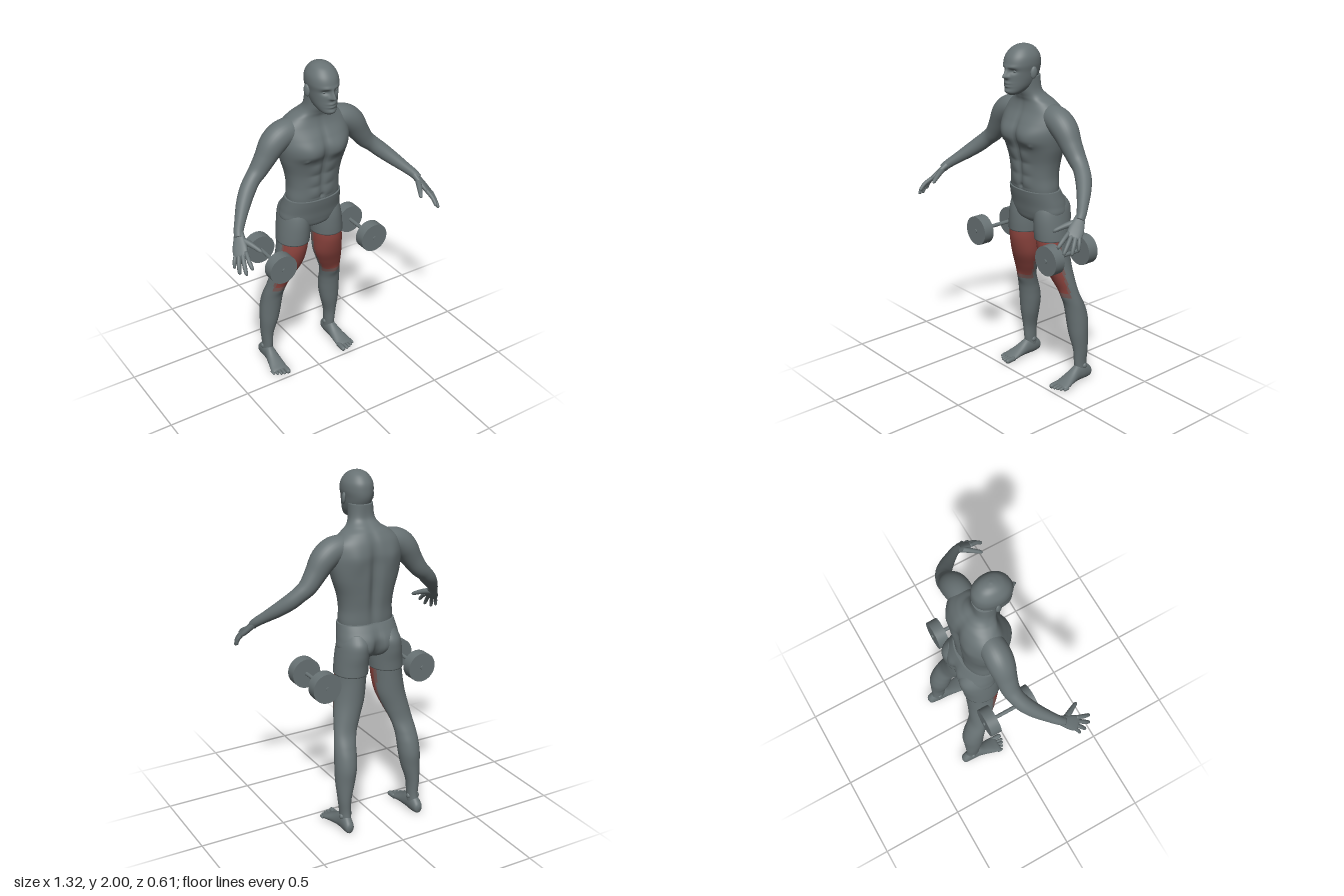
import * as THREE from 'three';

const grey = new THREE.MeshStandardMaterial({ color: 0x687274 });
const red = new THREE.MeshStandardMaterial({ color: 0x904640 });
const blend = new THREE.MeshStandardMaterial({ color: 0x7a5b58 });
grey.name = 'slate grey';
red.name = 'muscle red';
blend.name = 'muscle edge';

const V = (x, y, z) => new THREE.Vector3(x, y, z);
const bump = (d, w) => Math.exp(-(d * d) / (w * w));
const catmull = (a, b, c, d, t) =>
  0.5 * (2 * b + (c - a) * t + (2 * a - 5 * b + 4 * c - d) * t * t + (3 * b - a - 3 * c + d) * t * t * t);

// Smooth closed skin over cross-sections [x, y, z, halfWidth, upperDepth, lowerDepth].
// "axis" fixes the ring plane; otherwise rings follow the path. "pick" chooses a material per face.
function loft(name, rows, { up = V(0, 0, 1), axis = null, seg = 32, steps = 6, power = 2, sculpt = null, pick = null } = {}) {
  const rings = [];
  const n = rows.length;
  for (let i = 0; i < n - 1; i++)
    for (let k = 0; k < steps + (i === n - 2 ? 1 : 0); k++) {
      const [a, b, c, d] = [rows[Math.max(i - 1, 0)], rows[i], rows[i + 1], rows[Math.min(i + 2, n - 1)]];
      rings.push(b.map((_, m) => catmull(a[m], b[m], c[m], d[m], k / steps)));
    }
  const pos = [];
  const lists = [[], [], []];
  const last = rings.length - 1;
  rings.forEach((r, i) => {
    const p0 = rings[Math.max(i - 1, 0)], p1 = rings[Math.min(i + 1, last)];
    const T = axis || V(p1[0] - p0[0], p1[1] - p0[1], p1[2] - p0[2]).normalize();
    const S = up.clone().cross(T).normalize();
    const N = T.clone().cross(S);
    for (let j = 0; j < seg; j++) {
      const th = (j / seg) * Math.PI * 2, c = Math.cos(th), s = Math.sin(th);
      const e = 2 / power;
      const p = V(r[0], r[1], r[2])
        .addScaledVector(S, Math.sign(c) * Math.abs(c) ** e * r[3])
        .addScaledVector(N, Math.sign(s) * Math.abs(s) ** e * (s > 0 ? r[4] : r[5]));
      if (sculpt) sculpt(p, s);
      pos.push(p.x, p.y, p.z);
      if (i === last) continue;
      const q = i * seg + j, q1 = i * seg + ((j + 1) % seg);
      lists[pick ? pick(r[1], th) : 0].push(q, q1, q1 + seg, q, q1 + seg, q + seg);
    }
  });
  // End caps
  const base = last * seg, mid = pos.length / 3;
  pos.push(...rings[0].slice(0, 3), ...rings[last].slice(0, 3));
  for (let j = 0; j < seg; j++) {
    const k = (j + 1) % seg;
    lists[0].push(mid, k, j, mid + 1, base + j, base + k);
  }
  const geo = new THREE.BufferGeometry();
  geo.setAttribute('position', new THREE.Float32BufferAttribute(pos, 3));
  geo.setIndex(lists.flat());
  let start = 0;
  if (pick) lists.forEach((l, m) => { geo.addGroup(start, l.length, m); start += l.length; });
  geo.computeVertexNormals();
  const mesh = new THREE.Mesh(geo, pick ? [grey, red, blend] : grey);
  mesh.name = name;
  return mesh;
}

const Y = V(0, 1, 0);
const mirror = (rows, s) => rows.map(([x, ...rest]) => [x * s, ...rest]);

function ball(name, p, scale) {
  const m = new THREE.Mesh(new THREE.SphereGeometry(1, 24, 16), grey);
  m.name = name;
  m.position.set(...p);
  m.scale.set(...scale);
  return m;
}

// Chest, abdominal and back muscles
function sculptTorso(p, s) {
  const x = Math.abs(p.x), y = p.y;
  if (s > 0) {
    const pec = bump(x - 0.095, 0.08) * bump(y - 1.49, y < 1.49 ? 0.04 : 0.085);
    const abs = bump(x - 0.045, 0.035) * Math.abs(Math.sin((y - 1.2) * Math.PI / 0.075));
    const belly = y > 1.19 && y < 1.43 ? 1 : 0;
    p.z += s * (0.026 * pec + 0.006 * abs * belly);
    p.z -= s * 0.012 * bump(x, 0.016) * bump(y - 1.42, 0.2);
    p.z += 0.008 * bump(x - 0.112, 0.009) * bump(y - 1.46, 0.009);
    p.z -= 0.01 * bump(x, 0.01) * bump(y - 1.21, 0.012);
  } else {
    p.z -= s * 0.026 * bump(x, 0.028) * bump(y - 1.42, 0.22);
    p.z += s * 0.012 * bump(x - 0.11, 0.05) * bump(y - 1.55, 0.07);
  }
}

// Brow, eye sockets, nose, lips and chin
function sculptHead(p, s) {
  if (s <= 0) return;
  const x = Math.abs(p.x), y = p.y;
  const nose = bump(x, 0.009 + 0.006 * bump(y - 1.832, 0.014)) * (y > 1.836 ? bump(y - 1.836, 0.032) : bump(y - 1.836, 0.011));
  p.z += 0.03 * nose;
  p.z -= 0.013 * bump(x - 0.034, 0.02) * bump(y - 1.866, 0.014);
  p.z += 0.005 * bump(x - 0.03, 0.03) * bump(y - 1.888, 0.01);
  p.z += 0.007 * bump(x, 0.025) * (bump(y - 1.801, 0.007) + bump(y - 1.784, 0.007));
  p.z += 0.006 * bump(x, 0.025) * bump(y - 1.757, 0.012);
}

function arm(s) {
  const g = new THREE.Group();
  g.name = s > 0 ? 'leftArm' : 'rightArm';
  const path = [
    [0.10, 1.615, -0.07, 0.066], [0.19, 1.603, -0.065, 0.074], [0.25, 1.56, -0.065, 0.073], [0.30, 1.487, -0.065, 0.06],
    [0.345, 1.425, -0.065, 0.051], [0.388, 1.386, -0.055, 0.045], [0.434, 1.343, -0.03, 0.044], [0.483, 1.297, 0.012, 0.039],
    [0.532, 1.25, 0.065, 0.031], [0.568, 1.214, 0.108, 0.026], [0.582, 1.19, 0.135, 0.024]];
  g.add(loft('armLimb', mirror(path.map(([x, y, z, r]) => [x, y, z, r, r, r]), s), { up: V(0.59 * s, 0.68, 0.35) }));
  const up = V(0.594 * s, 0.682, 0.352);
  g.add(loft('palm', mirror([
    [0.566, 1.217, 0.106, 0.022, 0.02, 0.02], [0.583, 1.185, 0.14, 0.032, 0.017, 0.018],
    [0.6, 1.152, 0.175, 0.041, 0.015, 0.017], [0.612, 1.127, 0.202, 0.039, 0.012, 0.012],
    [0.616, 1.12, 0.21, 0.026, 0.005, 0.005]], s), { up, power: 2.4 }));
  // Index to little finger
  const tips = [[0.595, 1.082, 0.297], [0.625, 1.052, 0.283], [0.645, 1.045, 0.245], [0.653, 1.062, 0.205]];
  tips.forEach((tip, i) => {
    const k = -0.03 + i * 0.02;
    const a = V(0.607 + 0.7 * k, 1.136 - 0.3 * k, 0.194 - 0.6 * k), b = V(...tip);
    const r = i === 3 ? 0.0095 : 0.0115;
    const row = (t, f, lift) => {
      const p = a.clone().lerp(b, t).add(V(0.594, 0.682, 0.352).multiplyScalar(lift));
      return [p.x, p.y, p.z, r * f, r * f, r * f];
    };
    g.add(loft('finger', mirror([row(0, 1, 0), row(0.45, 1.05, 0.007), row(0.75, 0.95, 0.005), row(0.94, 0.75, 0), row(1, 0.1, 0)], s),
      { up, seg: 14, steps: 4 }));
  });
  g.add(loft('thumb', mirror([
    [0.578, 1.185, 0.14, 0.018, 0.018, 0.018], [0.555, 1.174, 0.182, 0.016, 0.016, 0.016], [0.535, 1.16, 0.218, 0.013, 0.013, 0.013],
    [0.519, 1.146, 0.248, 0.01, 0.01, 0.01], [0.514, 1.141, 0.258, 0.001, 0.001, 0.001]], s), { up, seg: 14, steps: 4 }));
  return g;
}

function leg(s) {
  const g = new THREE.Group();
  g.name = s > 0 ? 'leftLeg' : 'rightLeg';
  // The front thigh is red, narrowing toward the knee
  const pick = (y, th) => {
    if (y < 0.55) return 0;
    const w = Math.sin(th) + 0.25 * s * Math.cos(th);
    const limit = 0.15 + 0.55 * Math.max(0, (0.85 - y) / 0.3) ** 1.5;
    if (w > limit && y > 0.575) return 1;
    return w > limit - 0.2 ? 2 : 0;
  };
  const knee = (p, sn) => { if (sn > 0) p.z += 0.008 * bump(p.x * s - 0.19, 0.03) * bump(p.y - 0.55, 0.035); };
  g.add(loft('legLimb', mirror([
    [0.224, 0.06, -0.24, 0.03, 0.04, 0.045], [0.224, 0.12, -0.235, 0.031, 0.042, 0.042], [0.225, 0.2, -0.233, 0.038, 0.047, 0.047],
    [0.215, 0.3, -0.22, 0.055, 0.053, 0.063], [0.208, 0.38, -0.215, 0.063, 0.058, 0.071], [0.203, 0.45, -0.205, 0.064, 0.057, 0.068],
    [0.197, 0.51, -0.19, 0.064, 0.053, 0.06], [0.182, 0.58, -0.17, 0.067, 0.055, 0.05], [0.158, 0.66, -0.142, 0.078, 0.062, 0.067],
    [0.132, 0.75, -0.118, 0.088, 0.078, 0.086], [0.118, 0.85, -0.105, 0.088, 0.094, 0.1], [0.112, 0.93, -0.105, 0.086, 0.1, 0.104]], s),
    { axis: Y, seg: 48, steps: 8, sculpt: knee, pick }));
  g.add(loft('foot', mirror([
    [0.228, 0.042, -0.312, 0.006, 0.008, 0.008], [0.228, 0.043, -0.3, 0.025, 0.03, 0.036], [0.226, 0.05, -0.255, 0.032, 0.06, 0.049],
    [0.226, 0.047, -0.205, 0.034, 0.058, 0.044], [0.23, 0.036, -0.15, 0.042, 0.036, 0.032], [0.235, 0.024, -0.1, 0.05, 0.022, 0.023],
    [0.237, 0.017, -0.068, 0.05, 0.014, 0.016], [0.237, 0.015, -0.06, 0.04, 0.006, 0.007]], s), { up: Y, axis: V(0, 0, 1) }));
  for (let i = 0; i < 5; i++) {
    const r = i ? 0.0105 - i * 0.0005 : 0.015, x = i ? 0.207 + i * 0.0195 : 0.2, tip = -0.019 - 0.002 * i * i;
    const row = (z, y, f) => [x, y, z, r * f, r * f, r * f];
    g.add(loft('toe', mirror([row(-0.085, 0.017, 1), row(tip - 0.02, 0.015, 1), row(tip - 0.005, 0.013, 0.8), row(tip, 0.012, 0.1)], s),
      { up: Y, seg: 14, steps: 4 }));
  }
  g.add(ball('innerAnkle', [0.197 * s, 0.1, -0.24], [0.012, 0.016, 0.016]), ball('outerAnkle', [0.252 * s, 0.095, -0.245], [0.012, 0.016, 0.016]));
  return g;
}

function dumbbell(s) {
  const g = new THREE.Group();
  g.name = s > 0 ? 'leftDumbbell' : 'rightDumbbell';
  const rod = (name, r, z0, z1) => {
    const m = new THREE.Mesh(new THREE.CylinderGeometry(r, r, z1 - z0, 48).rotateX(Math.PI / 2), grey);
    m.position.z = (z0 + z1) / 2;
    m.name = name;
    g.add(m);
  };
  rod('handle', 0.011, -0.202, 0.122);
  rod('frontWeight', 0.085, 0.052, 0.115);
  rod('backWeight', 0.085, -0.194, -0.13);
  g.position.set(0.303 * s, 0.872, 0);
  return g;
}

export function createModel() {
  const model = new THREE.Group();
  model.name = 'athlete';

  model.add(loft('torso', [
    [0, 1.15, -0.07, 0.155, 0.09, 0.1], [0, 1.2, -0.07, 0.159, 0.1, 0.103], [0, 1.27, -0.07, 0.156, 0.104, 0.105],
    [0, 1.35, -0.07, 0.168, 0.11, 0.113], [0, 1.44, -0.07, 0.195, 0.13, 0.12], [0, 1.52, -0.07, 0.21, 0.145, 0.12],
    [0, 1.58, -0.07, 0.208, 0.128, 0.12], [0, 1.64, -0.07, 0.19, 0.1, 0.107], [0, 1.685, -0.065, 0.14, 0.085, 0.088],
    [0, 1.715, -0.05, 0.094, 0.077, 0.075], [0, 1.755, -0.03, 0.072, 0.07, 0.06], [0, 1.83, -0.01, 0.068, 0.06, 0.075]],
    { axis: Y, seg: 112, steps: 10, power: 2.25, sculpt: sculptTorso }));

  model.add(loft('head', [
    [0, 1.735, 0.08, 0.02, 0.03, 0.035], [0, 1.75, 0.075, 0.042, 0.052, 0.06], [0, 1.78, 0.05, 0.06, 0.078, 0.09],
    [0, 1.82, 0.03, 0.071, 0.098, 0.1], [0, 1.86, 0.025, 0.077, 0.103, 0.112], [0, 1.9, 0.025, 0.083, 0.103, 0.115],
    [0, 1.94, 0.022, 0.078, 0.093, 0.105], [0, 1.975, 0.018, 0.057, 0.067, 0.075], [0, 1.993, 0.015, 0.032, 0.035, 0.04],
    [0, 2, 0.015, 0.004, 0.004, 0.004]], { axis: Y, seg: 112, steps: 10, power: 2.1, sculpt: sculptHead }));

  // Shorts: hips with a rear cleft, plus a sleeve on each thigh
  const cleft = (p, s) => { if (s < 0) p.z -= s * 0.035 * bump(p.x, 0.025) * bump(p.y - 1.04, 0.08); };
  model.add(loft('hips', [
    [0, 0.985, -0.1, 0.05, 0.06, 0.06], [0, 1.01, -0.1, 0.13, 0.095, 0.1], [0, 1.05, -0.1, 0.183, 0.108, 0.126],
    [0, 1.1, -0.095, 0.181, 0.113, 0.131], [0, 1.15, -0.08, 0.173, 0.11, 0.122], [0, 1.187, -0.07, 0.167, 0.107, 0.111]],
    { axis: Y, seg: 72, power: 2.2, sculpt: cleft }));

  for (const s of [1, -1]) {
    model.add(loft(s > 0 ? 'leftShortsLeg' : 'rightShortsLeg', mirror([
      [0.112, 0.903, -0.105, 0.094, 0.106, 0.109], [0.108, 0.96, -0.105, 0.093, 0.11, 0.114], [0.103, 1.03, -0.105, 0.088, 0.11, 0.125],
      [0.096, 1.09, -0.105, 0.082, 0.1, 0.123], [0.09, 1.14, -0.1, 0.065, 0.07, 0.09]], s), { axis: Y, seg: 40 }));
    model.add(ball('eye', [0.034 * s, 1.865, 0.098], [0.013, 0.01, 0.012]));
    const ear = ball('ear', [0.084 * s, 1.855, 0.012], [0.011, 0.033, 0.019]);
    ear.rotation.set(-0.15, -0.35 * s, 0);
    model.add(ear, arm(s), leg(s), dumbbell(s));
  }
  return model;
}
